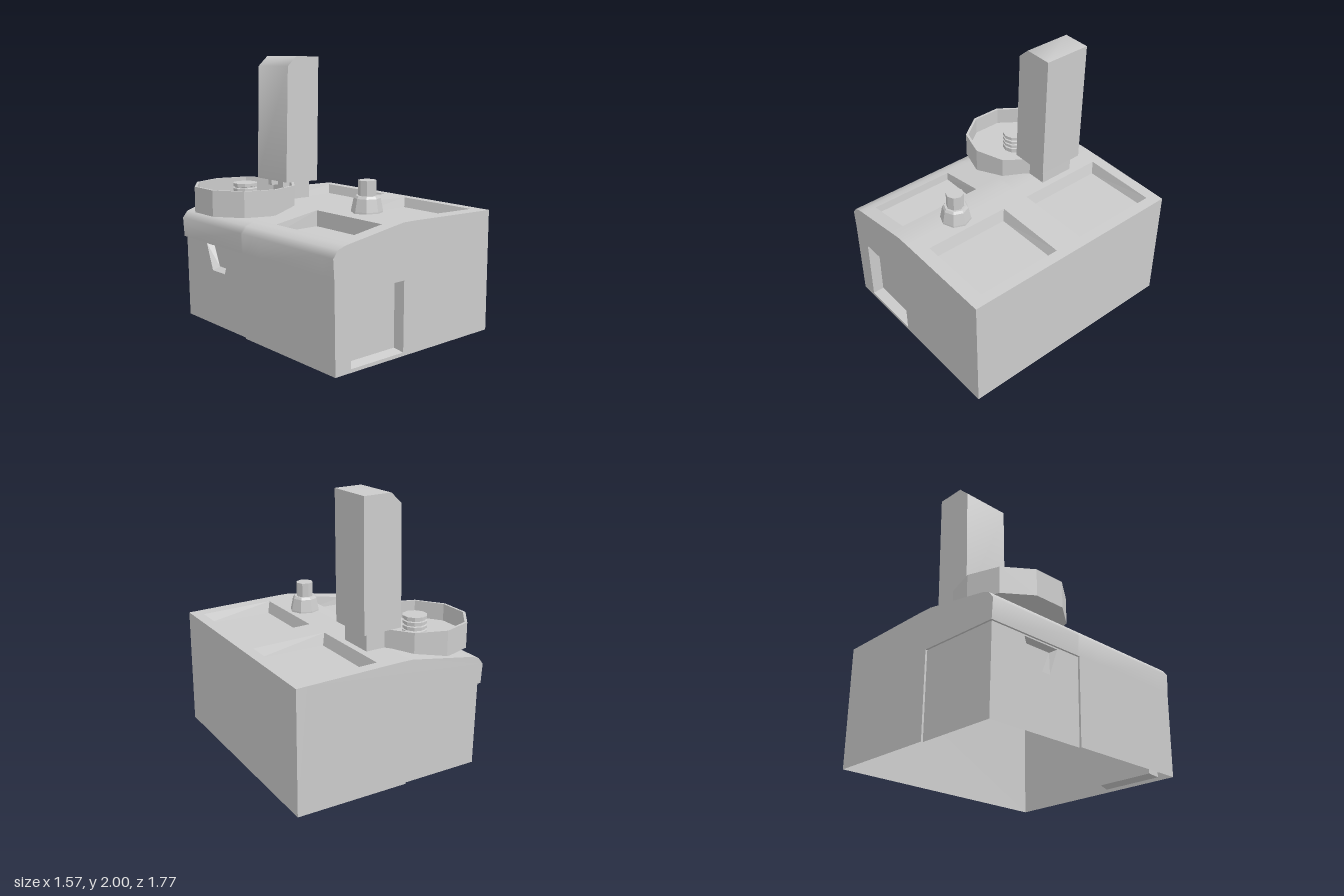
import * as THREE from 'three';
import { toCreasedNormals } from 'three/addons/utils/BufferGeometryUtils.js';

const smooth = new THREE.MeshStandardMaterial({ color: 0xcccccc, side: THREE.DoubleSide });
const flat = new THREE.MeshStandardMaterial({ color: 0xcccccc, side: THREE.DoubleSide, flatShading: true });

function add(parent, name, geometry, material = flat, x = 0, y = 0, z = 0) {
  const mesh = new THREE.Mesh(geometry, material);
  mesh.name = name;
  mesh.position.set(x, y, z);
  parent.add(mesh);
  return mesh;
}

// Separate four-cornered faces, corners counter-clockwise from outside
function quads(list) {
  const pos = [];
  for (const [a, b, c, d] of list) pos.push(...a, ...b, ...c, ...a, ...c, ...d);
  const g = new THREE.BufferGeometry();
  g.setAttribute('position', new THREE.Float32BufferAttribute(pos, 3));
  g.computeVertexNormals();
  return g;
}

// Pocket: walls from an outer loop down to an inner loop, plus its floor
function recess(outer, inner) {
  const walls = outer.map((o, i) => {
    const j = (i + 1) % 4;
    return [o, outer[j], inner[j], inner[i]];
  });
  return quads([...walls, inner]);
}

const polygon = (pts) => new THREE.Shape(pts.map(([x, y]) => new THREE.Vector2(x, y)));
const hole = (pts) => new THREE.Path(pts.map(([x, y]) => new THREE.Vector2(x, y)));
const lathe = (pts, sides) => new THREE.LatheGeometry(pts.map(([r, y]) => new THREE.Vector2(r, y)), sides);

// Housing section, from the foot of the -x wall over the roof to the +x wall
const section = [
  [-0.69, 0], [-0.7, 0.625], [-0.71, 0.77], [-0.67, 0.82], [-0.61, 0.84], [-0.56, 0.848],
  [-0.195, 0.905], [-0.1, 0.92], [0, 0.92], [0.13, 0.917], [0.7, 0.902], [0.78, 0.9],
];
const roofAt = (x) => section.find((p) => Math.abs(p[0] - x) < 0.001)[1];
const HALF = 0.885;
const DOOR_X = -0.07, DOOR_Z = -0.09, DOOR_Y = 0.625, STEP = 0.015;

// Roof pockets: x range, z range, floor height, taper
const pockets = [
  { x: [0.13, 0.7], z: [-0.8, -0.11], floor: 0.83, t: 0.025 },
  { x: [0.13, 0.7], z: [0.11, 0.78], floor: 0.83, t: 0.025 },
  { x: [-0.56, -0.195], z: [0.11, 0.78], floor: 0.79, t: 0.006 },
];

// Roof and -x wall in one strip, leaving out the pockets and the door
function roofGeometry() {
  const zs = [-HALF, -0.8, -0.11, DOOR_Z, 0.11, 0.78, HALF];
  const pos = [], index = [];
  for (const [x, y] of section) for (const z of zs) pos.push(x, y, z);
  for (let i = 0; i < section.length - 1; i++) {
    for (let j = 0; j < zs.length - 1; j++) {
      const cx = (section[i][0] + section[i + 1][0]) / 2, cz = (zs[j] + zs[j + 1]) / 2;
      const open = i === 0 ? cz < DOOR_Z : i > 3 && pockets.some((p) =>
        cx > p.x[0] && cx < p.x[1] && cz > p.z[0] && cz < p.z[1]);
      if (open) continue;
      const a = i * zs.length + j, b = a + zs.length;
      index.push(a, a + 1, b + 1, a, b + 1, b);
    }
  }
  const g = new THREE.BufferGeometry();
  g.setAttribute('position', new THREE.Float32BufferAttribute(pos, 3));
  g.setIndex(index);
  g.computeVertexNormals();
  return g;
}

function buildHousing() {
  const housing = new THREE.Group();
  housing.name = 'housing';
  add(housing, 'roofAndSideWall', roofGeometry(), smooth);
  add(housing, 'plainSideWall', quads([[[0.78, 0, HALF], [0.78, 0, -HALF], [0.78, 0.9, -HALF], [0.78, 0.9, HALF]]]));

  // Front wall with its square recess
  const rect = (x0, x1, y0, y1) => [[x0, y0], [x1, y0], [x1, y1], [x0, y1]];
  const outer = rect(-0.56, -0.085, 0.025, 0.525), inner = rect(-0.545, -0.095, 0.04, 0.512);
  const front = polygon([...section, [0.78, 0]]);
  front.holes.push(hole(outer));
  add(housing, 'frontWall', new THREE.ShapeGeometry(front), flat, 0, 0, HALF);
  add(housing, 'frontRecess', recess(outer.map((p) => [...p, HALF]), inner.map((p) => [...p, HALF - 0.08])));

  // Back wall, cut away where the corner door sits
  const back = new THREE.ShapeGeometry(polygon([[DOOR_X, 0], [DOOR_X, DOOR_Y], ...section.slice(1), [0.78, 0]]));
  back.scale(-1, 1, 1); // keep the winding outward after turning round
  back.rotateY(Math.PI);
  const idx = back.index.array;
  for (let i = 0; i < idx.length; i += 3) [idx[i], idx[i + 1]] = [idx[i + 1], idx[i]];
  back.computeVertexNormals();
  add(housing, 'backWall', back, flat, 0, 0, -HALF);

  // Roof pockets
  for (const { x, z, floor, t } of pockets) {
    const loop = (d, y) => [[x[0] + d, z[0] + d], [x[0] + d, z[1] - d], [x[1] - d, z[1] - d], [x[1] - d, z[0] + d]]
      .map(([px, pz], i) => [px, y ?? roofAt(x[i < 2 ? 0 : 1]), pz]);
    add(housing, 'roofPocket', recess(loop(0), loop(t, floor)));
  }
  return housing;
}

// Door wrapping the -x back corner, set slightly inward
function buildDoor() {
  const door = new THREE.Group();
  door.name = 'cornerDoor';
  const zb = -HALF + STEP, lowX = -0.69 + STEP, topX = -0.7 + STEP;
  const sideX = (y) => lowX + (topX - lowX) * (y / DOOR_Y);
  add(door, 'doorBackPanel', quads([
    [[DOOR_X, 0, zb], [lowX, 0, zb], [topX, DOOR_Y, zb], [DOOR_X, DOOR_Y, zb]],
  ]));
  add(door, 'doorSurround', quads([
    [[DOOR_X, 0, -HALF], [DOOR_X, 0, zb], [DOOR_X, DOOR_Y, zb], [DOOR_X, DOOR_Y, -HALF]],
    [[-0.7, DOOR_Y, -HALF], [DOOR_X, DOOR_Y, -HALF], [DOOR_X, DOOR_Y, zb], [-0.7, DOOR_Y, zb]],
    [[-0.7, DOOR_Y, zb], [topX, DOOR_Y, zb], [topX, DOOR_Y, DOOR_Z], [-0.7, DOOR_Y, DOOR_Z]],
    [[lowX, 0, DOOR_Z], [-0.69, 0, DOOR_Z], [-0.7, DOOR_Y, DOOR_Z], [topX, DOOR_Y, DOOR_Z]],
  ]));

  // Side panel with a tapered hand grip hanging from its top edge
  const grip = [[-0.52, 0.42], [-0.36, 0.42], [-0.29, 0.615], [-0.59, 0.615]];
  const panel = polygon([[zb, 0], [DOOR_Z, 0], [DOOR_Z, DOOR_Y], [zb, DOOR_Y]]);
  panel.holes.push(hole(grip));
  const g = new THREE.ShapeGeometry(panel);
  const p = g.attributes.position;
  for (let i = 0; i < p.count; i++) p.setXYZ(i, sideX(p.getY(i)), p.getY(i), p.getX(i));
  g.computeVertexNormals();
  add(door, 'doorSidePanel', g);
  const inner = [[-0.5, 0.445], [-0.38, 0.445], [-0.315, 0.6], [-0.565, 0.6]];
  add(door, 'handGrip', recess(grip.map(([z, y]) => [sideX(y), y, z]), inner.map(([z, y]) => [sideX(y) + 0.05, y, z])));
  return door;
}

export function createModel() {
  const model = new THREE.Group();
  model.name = 'model';
  model.add(buildHousing(), buildDoor());

  // Ten-sided tray with a ridged hub
  add(model, 'tray', lathe([[0, 0.865], [0.385, 0.865], [0.385, 1.055], [0.365, 1.055], [0.365, 0.925], [0, 0.925]], 10),
    flat, -0.42, 0, -0.46);
  const hub = [[0.092, 0.925]];
  for (const y of [0.965, 1.0, 1.035]) hub.push([0.092, y - 0.008], [0.08, y - 0.004], [0.08, y + 0.004], [0.092, y + 0.008]);
  hub.push([0.092, 1.065], [0, 1.065]);
  add(model, 'trayHub', lathe(hub, 10), flat, -0.42, 0, -0.46);

  // Leaning column on a narrower foot
  const column = new THREE.ExtrudeGeometry(
    polygon([[-0.175, 1.06], [0.125, 1.05], [0.14, 1.995], [-0.07, 2], [-0.153, 1.925]]),
    { depth: 0.365, bevelEnabled: false });
  add(model, 'column', toCreasedNormals(column, 0.9), smooth, 0, 0, -0.637);
  add(model, 'columnFoot', new THREE.BoxGeometry(0.15, 0.18, 0.28), flat, 0.005, 0.975, -0.457);
  for (const z of [-0.53, -0.385]) {
    add(model, 'footBracket', new THREE.BoxGeometry(0.07, 0.05, 0.04), flat, -0.1, 1.035, z);
  }

  // Eight-sided nozzle
  add(model, 'nozzle', lathe([[0.115, 0.9], [0.113, 0.93], [0.095, 1.02], [0.082, 1.037], [0.065, 1.037], [0.065, 1.145], [0, 1.145]], 8),
    flat, -0.013, 0, 0.442);
  return model;
}
